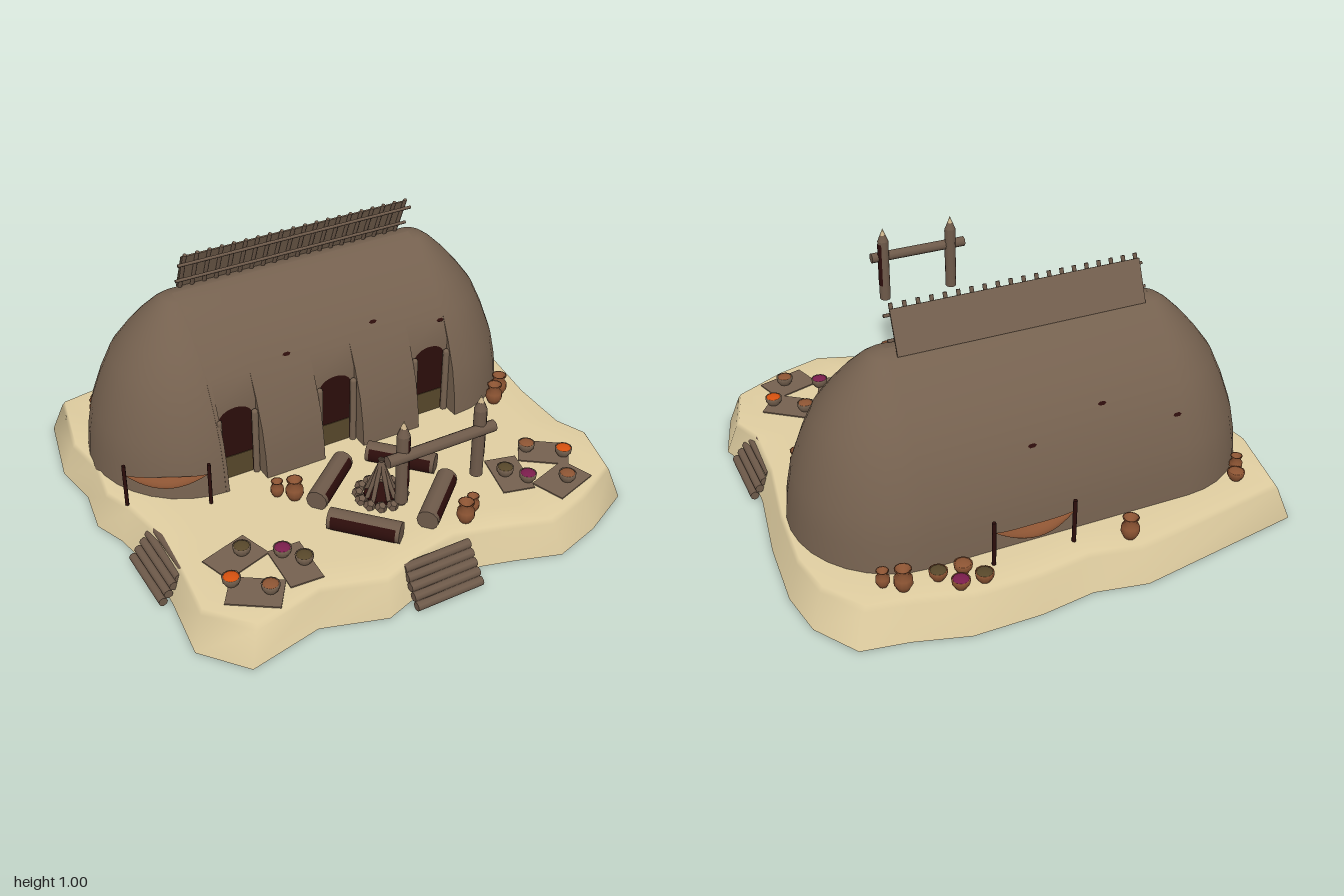
import * as THREE from 'three';
import { toCreasedNormals } from 'three/addons/utils/BufferGeometryUtils.js';

const mat = (name, color, double) => {
  const m = new THREE.MeshStandardMaterial({ color });
  m.name = name;
  if (double) m.side = THREE.DoubleSide;
  return m;
};

export function createModel() {
  const root = new THREE.Group();
  root.name = 'longhouse';
  const sand = mat('sand', 0xdfcda0, true), mud = mat('mud', 0x75614f, true), wood = mat('wood', 0x6e5a4a);
  const dark = mat('darkRed', 0x2c0d0b, true), clay = mat('clay', 0x8c5433, true), purple = mat('purple', 0x7a1d4c);
  const orange = mat('orange', 0xd4500f), olive = mat('olive', 0x57472a), bone = mat('bone', 0xcdb58c);
  const GROUND = 0.15;

  const add = (name, geo, material, x = 0, y = 0, z = 0, parent = root) => {
    const m = new THREE.Mesh(geo, material);
    m.name = name;
    m.position.set(x, y, z);
    parent.add(m);
    return m;
  };
  const group = (name, x, y, z, ry = 0) => {
    const g = new THREE.Group();
    g.name = name;
    g.position.set(x, y, z);
    g.rotation.y = ry;
    root.add(g);
    return g;
  };
  const cyl = (r, h, n = 8, r2 = r) => new THREE.CylinderGeometry(r2, r, h, n);
  // skin closed rings of points, bottom to top
  const loft = (rings) => {
    const n = rings[0].length, index = [];
    for (let j = 0; j < rings.length - 1; j++)
      for (let i = 0; i < n; i++) {
        const a = j * n + i, b = j * n + (i + 1) % n;
        index.push(a, b, b + n, a, b + n, a + n);
      }
    const g = new THREE.BufferGeometry();
    g.setAttribute('position', new THREE.Float32BufferAttribute(rings.flat(2), 3));
    g.setIndex(index);
    g.computeVertexNormals();
    return g;
  };

  // mound, outline listed from the front left round to the right side and back
  const outline = [[-.95, .71], [-.81, .88], [-.52, .82], [-.27, .9], [-.09, .84], [.09, .81], [.3, .87], [.48, .93],
    [.68, .87], [.9, .76], [.97, .53], [.92, .4], [.93, .13], [.98, -.19], [1, -.48], [.97, -.67], [.86, -.84],
    [.68, -.87], [.47, -.93], [.2, -.93], [-.02, -.9], [-.23, -.94], [-.93, -.82], [-1, -.49], [-.97, -.29],
    [-1, -.1], [-.95, .03], [-.91, .25], [-.92, .45]];
  const moundRows = [[1, 0], [.955, .13], [.943, GROUND], [.8, GROUND], [.4, GROUND], [0, GROUND]];
  add('mound', loft(moundRows.map(([s, y]) => outline.map(([x, z]) => [x * s, y, z * s]))), sand);

  // house: stadium-shaped dome with door recesses cut in the front wall
  const L = 0.53, CZ = -0.285, doors = [-.455, -.015, .43], half = .09;
  const cols = [{ x: -L, dx: 0, dz: 1 }];
  for (const d of doors)
    for (const [x, cut] of [[d - half, 0], [d - half, 1], [d + half, 1], [d + half, 0]])
      cols.push({ x, dx: 0, dz: 1, cut });
  for (const side of [1, -1])
    for (let i = 0; i <= 16; i++) {
      const t = i / 16 * Math.PI;
      cols.push({ x: side * L, dx: side * Math.sin(t), dz: side * Math.cos(t) });
    }
  cols.pop();
  const profile = [[.13, .417], [.25, .405], [.36, .382], [.48, .337], [.585, .287], [.67, .22], [.73, .165],
    [.79, .1], [.818, .06], [.83, 0]];
  const houseRows = profile.map(([y, r]) => cols.map(c => {
    const q = c.cut ? Math.min(r, .33) : r;
    return [c.x + c.dx * q * .95, y, CZ + c.dz * q];
  }));
  add('house', toCreasedNormals(loft(houseRows), 0.7), mud);

  // doorways
  for (const d of doors) {
    const g = group('doorway', d, GROUND, 0);
    const s = new THREE.Shape();
    s.moveTo(-.075, 0);
    s.lineTo(.075, 0);
    s.lineTo(.075, .27);
    s.quadraticCurveTo(.06, .318, 0, .32);
    s.quadraticCurveTo(-.06, .318, -.075, .27);
    add('doorOpening', new THREE.ShapeGeometry(s), dark, 0, 0, .049, g);
    add('doorFloor', new THREE.BoxGeometry(.13, .1, .004), olive, 0, .05, .05, g);
    for (const x of [-.077, .077]) {
      add('doorJamb', cyl(.014, .28, 8), mud, x, .14, .062, g);
      add('jambTop', new THREE.SphereGeometry(.014, 8, 6), mud, x, .28, .062, g);
    }
  }

  // small holes in the wall
  for (const [x, y, side] of [[-.2, .6, 1], [.2, .62, 1], [.5, .56, 1], [.1, .5, -1], [-.2, .58, -1], [-.5, .48, -1]]) {
    const k = profile.findIndex(p => p[0] > y), [y0, r0] = profile[k - 1], [y1, r1] = profile[k];
    const r = r0 + (r1 - r0) * (y - y0) / (y1 - y0);
    const m = add('wallHole', new THREE.CircleGeometry(.014, 6), dark, x, y + .002, CZ + side * (r + .003));
    m.rotation.x = -side * Math.atan2(r0 - r1, y1 - y0);
    m.scale.set(1.3, .6, 1);
  }

  // leaning ridge screen
  const ridge = group('ridgeScreen', 0, .82, -.345);
  ridge.rotation.x = .4;
  add('screenPanel', new THREE.BoxGeometry(1, .172, .006), mud, 0, .086, 0, ridge);
  for (let i = 0; i < 20; i++) add('screenPole', cyl(.008, .19, 6), wood, -.49 + i * .98 / 19, .097, .011, ridge);
  for (const y of [.06, .15]) add('screenRail', cyl(.007, 1.04, 6), wood, 0, y, .022, ridge).rotation.z = Math.PI / 2;

  // raised gate with pointed posts
  for (const x of [-.175, .142]) {
    add('gatePost', cyl(.024, .28, 10), wood, x, .57, .797);
    add('gatePostTaper', cyl(.024, .03, 10, .012), wood, x, .725, .797);
    add('gatePostTip', new THREE.ConeGeometry(.012, .03, 8), bone, x, .755, .797);
    const scar = new THREE.CylinderGeometry(.0255, .0255, .2, 8, 1, true, 0, 1.3);
    add('gatePostScar', scar, dark, x, .6, .797).rotation.y = x < 0 ? .2 : 1.2;
  }
  add('gateBeam', cyl(.022, .44, 10), wood, -.025, .63, .81).rotation.z = Math.PI / 2;

  // log steps at the front and both sides
  for (const [x, z, ry] of [[-.025, .8, 0], [.84, .297, Math.PI / 2], [-.84, .297, -Math.PI / 2]]) {
    const g = group('steps', x, 0, z, ry);
    for (let i = 0; i < 5; i++)
      add('stepLog', cyl(.018, .285, 8), wood, 0, .018 + i * .028, .112 - i * .023, g).rotation.z = Math.PI / 2;
  }

  // log benches around the fire, bark stripped on one side
  for (const [x, z, a] of [[-.18, .3, .68], [.14, .31, -.83], [-.2, .6, -.83], [.12, .6, .72]]) {
    const g = group('logBench', x, GROUND + .035, z, a);
    const log = add('log', cyl(.042, .28, 12), wood, 0, 0, 0, g);
    const strip = new THREE.CylinderGeometry(.0435, .0435, .25, 8, 1, true, -.6, 1.4);
    const bare = add('strippedBark', strip, dark, 0, 0, 0, g);
    log.rotation.z = bare.rotation.z = Math.PI / 2;
  }

  // campfire: stone ring and stick cone
  const fire = group('campfire', -.035, GROUND, .44);
  for (let i = 0; i < 12; i++) {
    const a = i / 12 * Math.PI * 2, s = Math.sin(a), c = Math.cos(a);
    add('fireStone', new THREE.DodecahedronGeometry(.024), wood, s * .088, .012, c * .088, fire);
    if (i % 3 === 2) continue;
    const stick = add('fireStick', cyl(.009, .19, 6), wood, s * .03, .09, c * .03, fire);
    stick.quaternion.setFromUnitVectors(new THREE.Vector3(0, 1, 0), new THREE.Vector3(-s * .4, 1, -c * .4).normalize());
  }
  add('embers', cyl(.065, .015, 12), dark, 0, .008, 0, fire);

  // mats
  for (const [x, z, a] of [[.475, .58, -.25], [.68, .53, -.65], [.635, .71, .3], [-.68, .49, .3], [-.7, .69, -.6], [-.51, .63, -.06]])
    add('mat', new THREE.BoxGeometry(Math.abs(x) < .55 ? .13 : .2, .005, Math.abs(x) < .55 ? .21 : .14), mud, x, GROUND + .003, z).rotation.y = a;

  // bowls with their contents
  const lathe = pts => new THREE.LatheGeometry(pts.map(p => new THREE.Vector2(...p)), 12);
  const bowlGeo = lathe([[0, 0], [.02, 0], [.033, .02], [.035, .038], [.03, .038]]);
  const bowls = [[.63, .48, clay], [.74, .58, orange], [.65, .72, clay], [.46, .57, olive], [.515, .645, purple],
    [-.65, .48, olive], [-.755, .61, orange], [-.65, .71, clay], [-.525, .56, purple], [-.475, .635, olive],
    [.385, -.835, olive], [.475, -.835, purple], [.435, -.76, clay], [.53, -.76, olive], [-.755, -.685, clay]];
  for (const [x, z, m] of bowls) {
    add('bowl', bowlGeo, z < 0 ? clay : mud, x, GROUND, z);
    const food = new THREE.SphereGeometry(.031, 12, 5, 0, Math.PI * 2, 0, Math.PI / 2);
    add('bowlContents', food, m, x, GROUND + .035, z).scale.y = .35;
  }

  // clay pots
  const potGeo = lathe([[0, 0], [.022, 0], [.035, .025], [.034, .05], [.022, .068], [.032, .088], [.026, .088], [.016, .068], [0, .062]]);
  for (const [x, z, s] of [[-.2, -.83, 1], [.66, -.76, 1], [.72, -.715, .75], [-.79, -.63, .75], [.72, .13, 1], [.78, .08, 1],
    [-.38, .24, .75], [-.33, .29, 1], [.165, .725, 1], [.225, .685, .75]])
    add('pot', potGeo, clay, x, GROUND, z).scale.setScalar(s);

  // hammocks slung between two posts
  for (const [x, z, ry] of [[.16, -.77, 0], [-.765, .085, -.48]]) {
    const g = group('hammock', x, GROUND, z, ry);
    const cloth = new THREE.PlaneGeometry(.32, 2, 12, 4), p = cloth.attributes.position;
    for (let i = 0; i < p.count; i++) {
      const u = p.getX(i) / .16, v = p.getY(i), w = Math.cos(u * Math.PI / 2);
      p.setXYZ(i, u * .16, .085 + .055 * u * u + .015 * w * v * v, -v * .036 * w);
    }
    cloth.computeVertexNormals();
    add('hammockCloth', cloth, clay, 0, 0, 0, g);
    for (const sx of [-.16, .16]) add('hammockPost', cyl(.008, .185, 6), dark, sx, .0925, 0, g);
  }
  return root;
}
